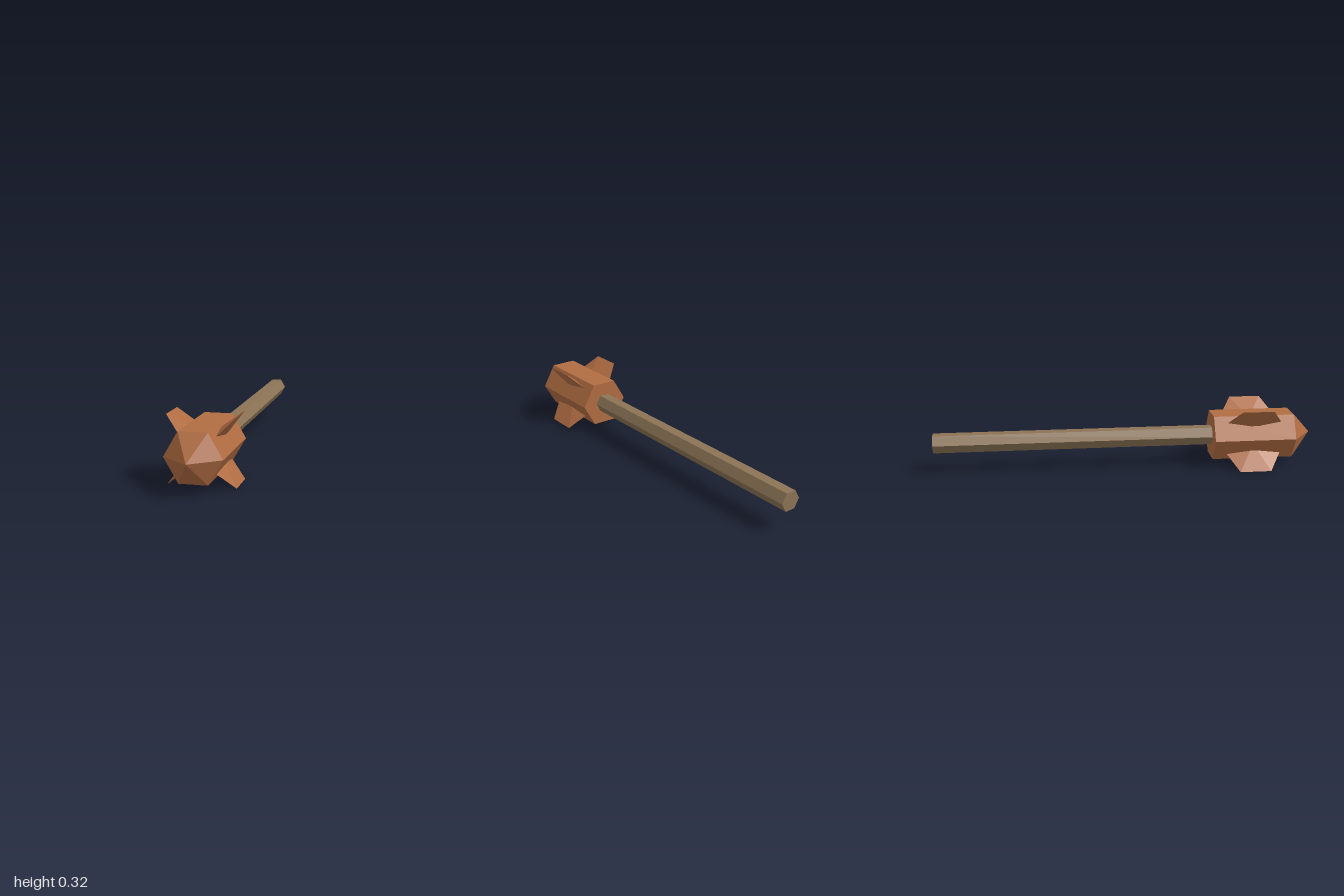
import * as THREE from 'three';

const AXIS_Y = 0.163;

// Faceted copy of a geometry: each face gets its own normal
function faceted(geometry) {
  const flat = geometry.index ? geometry.toNonIndexed() : geometry;
  flat.computeVertexNormals();
  return flat;
}

// Hexagonal prism or cone along z, with corners on the x axis
function hexAlongZ(frontRadius, backRadius, zBack, zFront, open = false) {
  const geometry = new THREE.CylinderGeometry(
    frontRadius, backRadius, zFront - zBack, 6, 1, open, Math.PI / 2);
  geometry.rotateX(Math.PI / 2);
  geometry.translate(0, 0, (zBack + zFront) / 2);
  return faceted(geometry);
}

// Wedge blade: diamond-shaped root narrowing to a straight outer edge
function bladeGeometry() {
  const tip = 0.2295, root = 0.08, half = 0.0265, edge = 0.0825, base = 0.166;
  const A = [tip, 0, edge], B = [tip, 0, -edge];
  const E = [root, 0, base], F = [root, 0, -base];
  const M = [root, half, 0], N = [root, -half, 0];
  const faces = [A, B, M, A, M, E, B, F, M, B, A, N, A, E, N, B, N, F];
  const geometry = new THREE.BufferGeometry();
  geometry.setAttribute('position', new THREE.Float32BufferAttribute(faces.flat(), 3));
  return faceted(geometry);
}

export function createModel() {
  const wood = new THREE.MeshStandardMaterial({ color: 0x8b7355 });
  wood.name = 'wood';
  const copper = new THREE.MeshStandardMaterial({ color: 0xb06c42 });
  copper.name = 'copper';

  const model = new THREE.Group();
  model.name = 'mace';
  const add = (name, geometry, material) => {
    const mesh = new THREE.Mesh(geometry, material);
    mesh.name = name;
    mesh.position.y = AXIS_Y;
    model.add(mesh);
    return mesh;
  };

  // Handle and head
  add('handle', hexAlongZ(0.053, 0.053, -1, 0.48), wood);
  add('head', hexAlongZ(0.135, 0.135, 0.463, 0.893), copper);
  add('headPoint', hexAlongZ(0, 0.135, 0.893, 1, true), copper);

  // Four diagonal blades around the head
  const blade = bladeGeometry();
  for (let i = 0; i < 4; i++) {
    const mesh = add('blade' + (i + 1), blade, copper);
    mesh.position.z = 0.677;
    mesh.rotation.z = Math.PI / 4 + i * Math.PI / 2;
  }
  return model;
}
